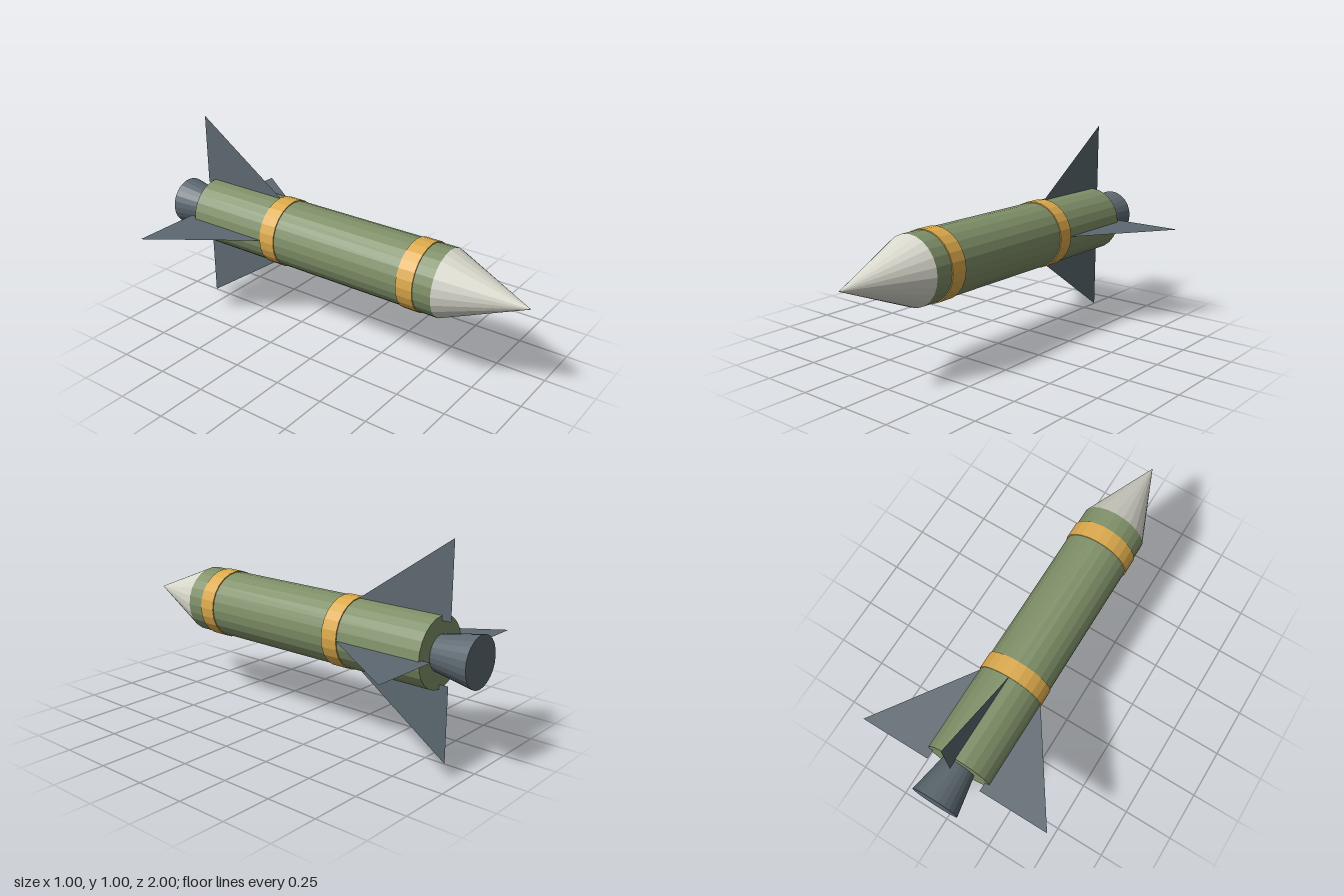
import * as THREE from 'three';

const SIDES = 24;
const AXIS_Y = 0.5;

const paint = (color, side = THREE.FrontSide) =>
  new THREE.MeshStandardMaterial({ color, flatShading: true, side });

// Round section along z, from zBack to zFront
function section(name, rFront, rBack, zFront, zBack, material) {
  const geometry = new THREE.CylinderGeometry(rFront, rBack, zFront - zBack, SIDES);
  geometry.rotateX(Math.PI / 2);
  const mesh = new THREE.Mesh(geometry, material);
  mesh.name = name;
  mesh.position.set(0, AXIS_Y, (zFront + zBack) / 2);
  return mesh;
}

export function createModel() {
  const model = new THREE.Group();
  model.name = 'rocket';

  const green = paint(0x7f9068);
  const yellow = paint(0xdcaa4c);
  const slate = paint(0x5c6870);
  const finPaint = paint(0x5c6870, THREE.DoubleSide);

  // Body, nose and nozzle
  model.add(section('body', 0.165, 0.165, 0.6, -0.805, green));
  model.add(section('noseCone', 0, 0.165, 1, 0.6, paint(0xd8d8cc)));
  model.add(section('nozzle', 0.083, 0.12, -0.8, -1, slate));

  // Raised bands
  model.add(section('frontBand', 0.17, 0.17, 0.508, 0.423, yellow));
  model.add(section('rearBand', 0.17, 0.17, -0.282, -0.367, yellow));

  // Four paper-thin triangular fins, rooted just inside the body
  const outline = new THREE.Shape([
    new THREE.Vector2(0.142, 0.33),
    new THREE.Vector2(0.142, 0.85),
    new THREE.Vector2(0.5, 0.85),
  ]);
  const finGeometry = new THREE.ShapeGeometry(outline);
  finGeometry.rotateX(-Math.PI / 2);
  ['leftFin', 'topFin', 'rightFin', 'bottomFin'].forEach((name, i) => {
    const fin = new THREE.Mesh(finGeometry, finPaint);
    fin.name = name;
    fin.position.y = AXIS_Y;
    fin.rotation.z = (i * Math.PI) / 2;
    model.add(fin);
  });

  return model;
}
